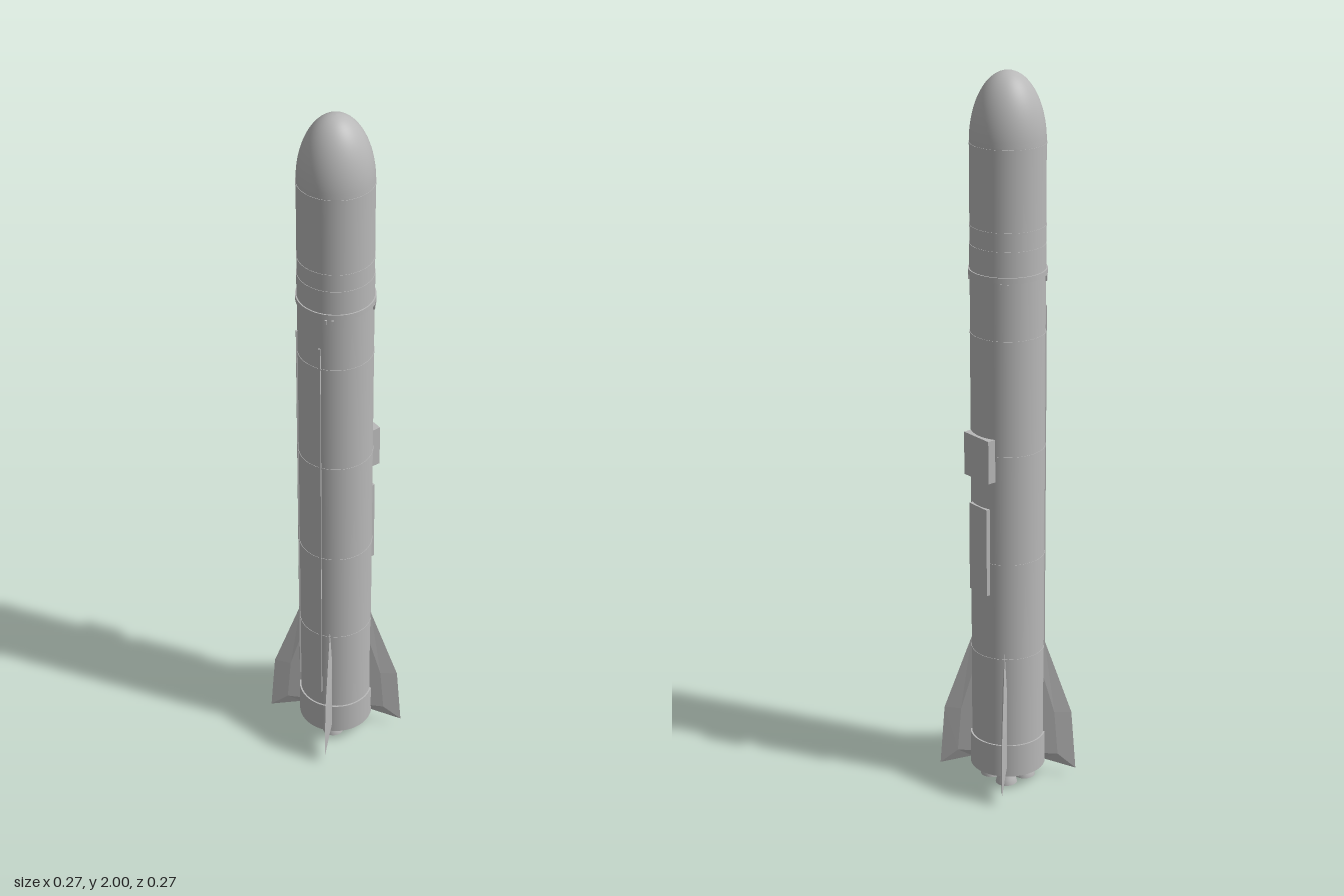
import * as THREE from 'three';

export function createModel() {
  const root = new THREE.Group();
  root.name = 'rocket';
  const grey = new THREE.MeshStandardMaterial({ color: 0xb8b8b8 });
  grey.name = 'grey';
  const greyThin = new THREE.MeshStandardMaterial({ color: 0xb8b8b8, side: THREE.DoubleSide });
  greyThin.name = 'grey two-sided';

  const add = (name, geo, parent = root, mat = grey) => {
    const m = new THREE.Mesh(geo, mat);
    m.name = name;
    parent.add(m);
    return m;
  };
  const R = 0.099;

  // Stacked hull sections [name, radius, bottom, top]; short ones are seam bands
  const sections = [
    ['engineSkirt', 0.1035, 0.045, 0.14],
    ['mainTank', R, 0.14, 1.47],
    ['interstageBand', 0.1035, 1.47, 1.485],
    ['interstage', 0.1, 1.485, 1.55],
    ['upperStage', R, 1.55, 1.82],
  ];
  for (const [name, r, y0, y1] of sections) {
    add(name, new THREE.CylinderGeometry(r, r, y1 - y0, 64)).position.y = (y0 + y1) / 2;
  }
  for (const y of [0.4, 0.68, 0.99, 1.31, 1.55, 1.6, 1.815]) {
    add('seamRing', new THREE.CylinderGeometry(R + 0.0012, R + 0.0012, 0.005, 64)).position.y = y;
  }

  // Rounded nose cone
  const nose = [];
  for (let i = 0; i <= 20; i++) {
    const a = (i / 20) * Math.PI / 2;
    nose.push(new THREE.Vector2(R * Math.cos(a), 1.82 + 0.18 * Math.sin(a)));
  }
  nose[20].x = 0;
  add('noseCone', new THREE.LatheGeometry(nose, 64));

  // Four swept fins with a diamond cross-section, on the diagonals
  const rim = [[0.09, 0.42], [0.1, 0.42], [0.177, 0.2], [0.19, 0.025], [0.1, 0.05], [0.09, 0.05]];
  const ridge = [[0.09, 0.34], [0.13, 0.2], [0.14, 0.07], [0.09, 0.07]];
  const finGeometry = () => {
    const pos = [];
    const tri = (a, b, c, s) => {
      for (const [x, y, z] of s > 0 ? [a, b, c] : [a, c, b]) pos.push(x, y, z);
    };
    for (const s of [1, -1]) {
      const o = rim.map(([x, y]) => [x, y, 0]);
      const q = ridge.map(([x, y]) => [x, y, 0.006 * s]);
      tri(q[0], q[3], q[2], s);
      tri(q[0], q[2], q[1], s);
      tri(o[0], q[0], o[1], s);
      tri(o[1], q[0], q[1], s);
      tri(o[1], q[1], o[2], s);
      tri(o[2], q[1], q[2], s);
      tri(o[2], q[2], o[3], s);
      tri(o[3], q[2], o[4], s);
      tri(o[4], q[2], q[3], s);
      tri(o[4], q[3], o[5], s);
    }
    const g = new THREE.BufferGeometry();
    g.setAttribute('position', new THREE.Float32BufferAttribute(pos, 3));
    g.computeVertexNormals();
    return g;
  };
  // Bell nozzle profile, outside then inside
  const bell = [[0.012, 0.06], [0.014, 0.045], [0.02, 0.03], [0.026, 0.014], [0.03, 0],
    [0.028, 0], [0.023, 0.014], [0.016, 0.03], [0, 0.04]]
    .map(([x, y]) => new THREE.Vector2(x, y));

  for (let i = 0; i < 4; i++) {
    const quarter = new THREE.Group();
    quarter.name = 'quarter';
    quarter.rotation.y = Math.PI / 4 + i * Math.PI / 2;
    root.add(quarter);
    add('fin', finGeometry(), quarter, greyThin);
    add('engineNozzle', new THREE.LatheGeometry(bell, 32), quarter, greyThin).position.x = 0.046;
    // Paired thruster ports above the fin line
    for (const s of [-1, 1]) {
      const port = add('thrusterPort', new THREE.BoxGeometry(0.008, 0.014, 0.006), quarter);
      const a = s * 0.09;
      port.position.set(R * Math.cos(a), 1.46, -R * Math.sin(a));
      port.rotation.y = a;
    }
  }

  // Two slim conduits down the front
  for (const s of [-1, 1]) {
    const a = s * Math.PI / 6;
    const c = add('conduit', new THREE.BoxGeometry(0.006, 1.185, 0.008), root);
    c.position.set(R * Math.sin(a), 0.7825, R * Math.cos(a));
    c.rotation.y = a;
  }

  // Flat equipment panels on the back
  add('upperBackPanel', new THREE.BoxGeometry(0.1, 0.12, 0.03)).position.set(0, 0.98, -0.094);
  add('lowerBackPanel', new THREE.BoxGeometry(0.072, 0.25, 0.018)).position.set(0, 0.715, -0.095);

  return root;
}
